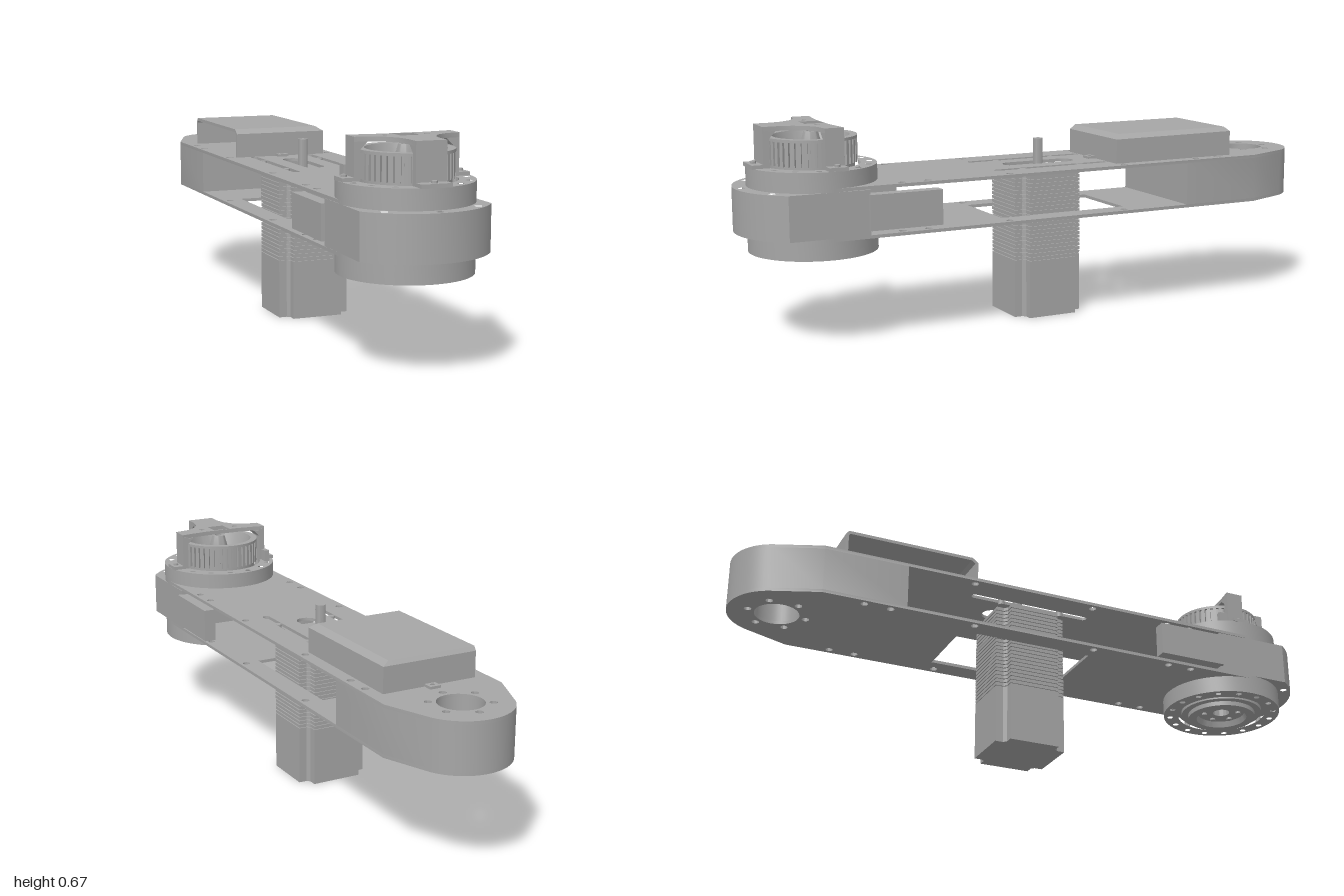
import * as THREE from 'three';
import { toCreasedNormals } from 'three/addons/utils/BufferGeometryUtils.js';
import { ConvexGeometry } from 'three/addons/geometries/ConvexGeometry.js';

const JOINT_Z = 0.755;
const grey = new THREE.MeshStandardMaterial({ color: 0xa6a6a6 });
grey.name = 'machined grey';

function add(parent, name, geometry, x = 0, y = 0, z = 0) {
  const mesh = new THREE.Mesh(geometry, grey);
  mesh.name = name;
  mesh.position.set(x, y, z);
  parent.add(mesh);
  return mesh;
}

const box = (w, h, d) => new THREE.BoxGeometry(w, h, d);
const cyl = (r, h, n = 32) => toCreasedNormals(new THREE.CylinderGeometry(r, r, h, n), 0.6);
const lathe = (pts) => toCreasedNormals(
  new THREE.LatheGeometry([...pts, pts[0]].map(([r, y]) => new THREE.Vector2(r, y)), 64), 0.5);

// Outlines are given as [x, z] points seen from above
const plan = (pts) => pts.map(([x, z]) => new THREE.Vector2(x, -z));
const circle = (cx, cz, r, n = 14) => Array.from({ length: n }, (_, i) => {
  const a = (i / n) * Math.PI * 2;
  return [cx + r * Math.cos(a), cz + r * Math.sin(a)];
});
const boltCircle = (n, r, hole, start = 0, cz = 0) => Array.from({ length: n }, (_, i) => {
  const a = start + (i / n) * Math.PI * 2;
  return circle(r * Math.cos(a), cz + r * Math.sin(a), hole, 10);
});
const rect = (x0, x1, z0, z1) => [[x0, z0], [x1, z0], [x1, z1], [x0, z1]];

// Upright slab from a plan outline with holes
function slab(outline, holes, y0, y1) {
  const shape = new THREE.Shape(plan(outline));
  holes.forEach((h) => shape.holes.push(new THREE.Path(plan(h))));
  const g = new THREE.ExtrudeGeometry(shape, { depth: y1 - y0, bevelEnabled: false });
  g.rotateX(-Math.PI / 2).translate(0, y0, 0);
  return toCreasedNormals(g, 0.5);
}

// Slot with round ends running along z
function slot(cx, z0, z1, r) {
  const pts = [];
  for (let i = 0; i <= 8; i++) pts.push([cx + r * Math.cos(Math.PI * i / 8), z1 - r + r * Math.sin(Math.PI * i / 8)]);
  for (let i = 0; i <= 8; i++) pts.push([cx - r * Math.cos(Math.PI * i / 8), z0 + r - r * Math.sin(Math.PI * i / 8)]);
  return pts;
}

// Rounded rear end of the arm, swept from +x to -x
function rearEnd() {
  const pts = [[0.2, -0.76]];
  for (let i = 0; i <= 24; i++) {
    const a = -0.45 - (Math.PI - 0.9) * i / 24;
    pts.push([0.156 * Math.cos(a), -0.844 + 0.156 * Math.sin(a)]);
  }
  pts.push([-0.2, -0.76]);
  return pts;
}

function buildArm() {
  const arm = new THREE.Group();
  arm.name = 'arm';
  const rearHoles = [circle(0, -0.845, 0.07, 40), ...boltCircle(6, 0.092, 0.012, Math.PI / 2, -0.845)];
  const edgeHoles = [];
  for (const s of [-1, 1]) {
    for (const z of [-0.62, -0.535, -0.255, 0.165, 0.445, 0.53]) edgeHoles.push(circle(s * 0.178, z, 0.012, 12));
  }
  const outline = [...rearEnd(), [-0.2, JOINT_Z], [0.2, JOINT_Z]];
  const slits = [-1, 1].map((s) => slot(s * 0.1, -0.235, 0.18, 0.012));
  add(arm, 'topPlate', slab(outline, [...rearHoles, ...edgeHoles, ...slits, slot(0, -0.155, 0.1, 0.034)], 0.485, 0.495));
  add(arm, 'bottomPlate', slab(outline, [...rearHoles, ...edgeHoles, rect(-0.13, 0.13, -0.28, 0.17)], 0.335, 0.345));
  const blockHoles = edgeHoles.filter((h) => h[0][1] < -0.5);
  add(arm, 'rearBlock', slab([...rearEnd(), [-0.2, -0.488], [0.2, -0.488]], [...rearHoles, ...blockHoles], 0.345, 0.485));

  // Electronics cover, open on one side
  const prof = [[-0.685, 0.495], [-0.685, 0.577], [-0.675, 0.59], [-0.257, 0.59], [-0.237, 0.575], [-0.237, 0.495]];
  const inner = [[-0.247, 0.495], [-0.247, 0.571], [-0.26, 0.58], [-0.671, 0.58], [-0.675, 0.573], [-0.675, 0.495]];
  const shell = new THREE.ExtrudeGeometry(
    new THREE.Shape([...prof, ...inner].map(([z, y]) => new THREE.Vector2(z, y))), { depth: 0.283, bevelEnabled: false });
  shell.rotateY(-Math.PI / 2).translate(0.125, 0, 0);
  add(arm, 'coverShell', shell);
  const cap = [];
  for (const [z, y] of prof) {
    cap.push(new THREE.Vector3(0.125, y, z), new THREE.Vector3(y > 0.58 ? 0.136 : 0.158, y, z));
  }
  add(arm, 'coverEnd', new ConvexGeometry(cap));
  for (const z of [-0.7, -0.225]) {
    add(arm, 'coverTab', slab(rect(-0.018, 0.018, z - 0.016, z + 0.016), [circle(0, z, 0.008)], 0.495, 0.503));
  }

  // Drive motor with notched corners and a laminated upper half
  const motor = new THREE.Group();
  motor.name = 'driveMotor';
  motor.position.z = -0.02;
  arm.add(motor);
  const section = (h) => {
    const a = h - 0.036, b = h - 0.026;
    const quarter = [[h, -a], [h, a], [b, a], [a, b]];
    const pts = [];
    let [c, s] = [1, 0];
    for (let i = 0; i < 4; i++) {
      quarter.forEach(([x, z]) => pts.push([x * c - z * s, x * s + z * c]));
      [c, s] = [-s, c];
    }
    return pts;
  };
  add(motor, 'motorBody', slab(section(0.12), [], 0, 0.19));
  add(motor, 'motorCore', slab(section(0.116), [], 0.19, 0.475));
  for (let i = 0; i < 22; i++) {
    const y = 0.1925 + i * 0.0128;
    add(motor, 'lamination', slab(section(0.12), [], y, y + 0.0095));
  }
  add(motor, 'motorShaft', cyl(0.016, 0.11, 24), 0, 0.52, -0.008);
  for (const x of [-0.1, 0.1]) {
    for (const z of [-0.11, 0.1]) add(motor, 'mountingScrew', cyl(0.011, 0.022, 12), x, 0.483, z);
  }
  return arm;
}

function buildJoint() {
  const joint = new THREE.Group();
  joint.name = 'joint';
  joint.position.z = JOINT_Z;

  // Middle block: round front cut flat at both sides
  const block = [[0.2, -0.115]];
  const a0 = Math.acos(0.2 / 0.243);
  for (let i = 0; i <= 32; i++) {
    const a = a0 + (Math.PI - 2 * a0) * i / 32;
    block.push([0.243 * Math.cos(a), 0.243 * Math.sin(a)]);
  }
  block.push([-0.2, -0.115]);
  const frontHoles = [50, 90, 130].map((d) => d * Math.PI / 180)
    .map((a) => circle(0.221 * Math.cos(a), 0.221 * Math.sin(a), 0.011, 12));
  add(joint, 'middleBlock', slab(block, frontHoles, 0.345, 0.484));
  for (const s of [-1, 1]) add(joint, 'sideWall', box(0.04, 0.11, 0.235), s * 0.193, 0.415, -0.2275);

  // Bolted rings above and below
  const bolts = boltCircle(16, 0.178, 0.01, Math.PI / 16);
  add(joint, 'upperRing', slab(circle(0, 0, 0.2, 72), [circle(0, 0, 0.15, 64), ...bolts], 0.484, 0.546));
  add(joint, 'lowerRing', slab(circle(0, 0, 0.2, 72), [circle(0, 0, 0.15, 64), ...bolts], 0.28, 0.345));
  add(joint, 'housingFloor', cyl(0.155, 0.02, 64), 0, 0.5, 0);
  add(joint, 'outputFlange', lathe([[0.028, 0.285], [0.08, 0.285], [0.086, 0.265], [0.115, 0.265], [0.115, 0.28],
    [0.138, 0.28], [0.138, 0.292], [0.151, 0.292], [0.151, 0.345], [0.028, 0.345]]));
  for (let i = 0; i < 6; i++) {
    const a = i * Math.PI / 3;
    add(joint, 'flangeBolt', cyl(0.009, 0.01, 12), 0.058 * Math.cos(a), 0.283, 0.058 * Math.sin(a));
  }

  // Rotor cup with toothed wall
  add(joint, 'rotorCup', lathe([[0.03, 0.51], [0.132, 0.51], [0.132, 0.625], [0.141, 0.625], [0.141, 0.634],
    [0.118, 0.634], [0.1, 0.57], [0.03, 0.57]]));
  add(joint, 'rotorHub', lathe([[0.012, 0.5], [0.034, 0.5], [0.034, 0.6], [0.022, 0.645], [0.012, 0.645]]));
  for (let i = 0; i < 44; i++) {
    const a = (i / 44) * Math.PI * 2;
    const tooth = add(joint, 'rotorTooth', box(0.009, 0.075, 0.011), 0.136 * Math.cos(a), 0.5885, 0.136 * Math.sin(a));
    tooth.rotation.y = -a;
  }

  // Three-legged bracket over the rotor
  const half = [[0.047, 0.165], [0.047, 0.115], [0.056, 0.075], [0.08, 0.04], [0.115, 0.018], [0.163, 0.01],
    [0.163, -0.05], [0.12, -0.043], [0.06, -0.036]];
  const outline = [...half, ...half.map(([x, z]) => [-x, z]).reverse()];
  add(joint, 'bracketTop', slab(outline, [rect(-0.03, 0.03, -0.033, 0.028),
    circle(0.065, 0, 0.009), circle(-0.065, 0, 0.009)], 0.657, 0.671));
  const brace = (len, w) => {
    const s = new THREE.Shape([[0, 0], [0, -len], [-len, 0]].map(([x, y]) => new THREE.Vector2(x, y)));
    return new THREE.ExtrudeGeometry(s, { depth: w, bevelEnabled: false }).translate(0, 0, -w / 2);
  };
  const leg = (name, x, z, width, turn) => {
    const g = new THREE.Group();
    g.name = name;
    g.position.set(x, 0, z);
    g.rotation.y = turn;
    add(g, 'upright', box(0.02, 0.118, width), -0.01, 0.604, 0);
    add(g, 'brace', brace(0.022, width), -0.02, 0.657, 0);
    add(g, 'foot', box(0.05, 0.012, width), 0.01, 0.551, 0);
    add(g, 'footScrew', cyl(0.009, 0.008, 12), 0.018, 0.56, 0);
    joint.add(g);
  };
  leg('frontLeg', 0, 0.165, 0.094, -Math.PI / 2);
  leg('leftLeg', 0.163, -0.02, 0.06, 0);
  leg('rightLeg', -0.163, -0.02, 0.06, Math.PI);
  add(joint, 'cableClip', box(0.018, 0.04, 0.03), -0.157, 0.566, -0.07);
  return joint;
}

export function createModel() {
  const model = new THREE.Group();
  model.name = 'robotArmLink';
  // The arm is swung slightly about the joint axis
  const arm = buildArm();
  arm.rotation.y = 0.0105;
  arm.position.x = -JOINT_Z * Math.sin(0.0105);
  model.add(arm, buildJoint());
  return model;
}
